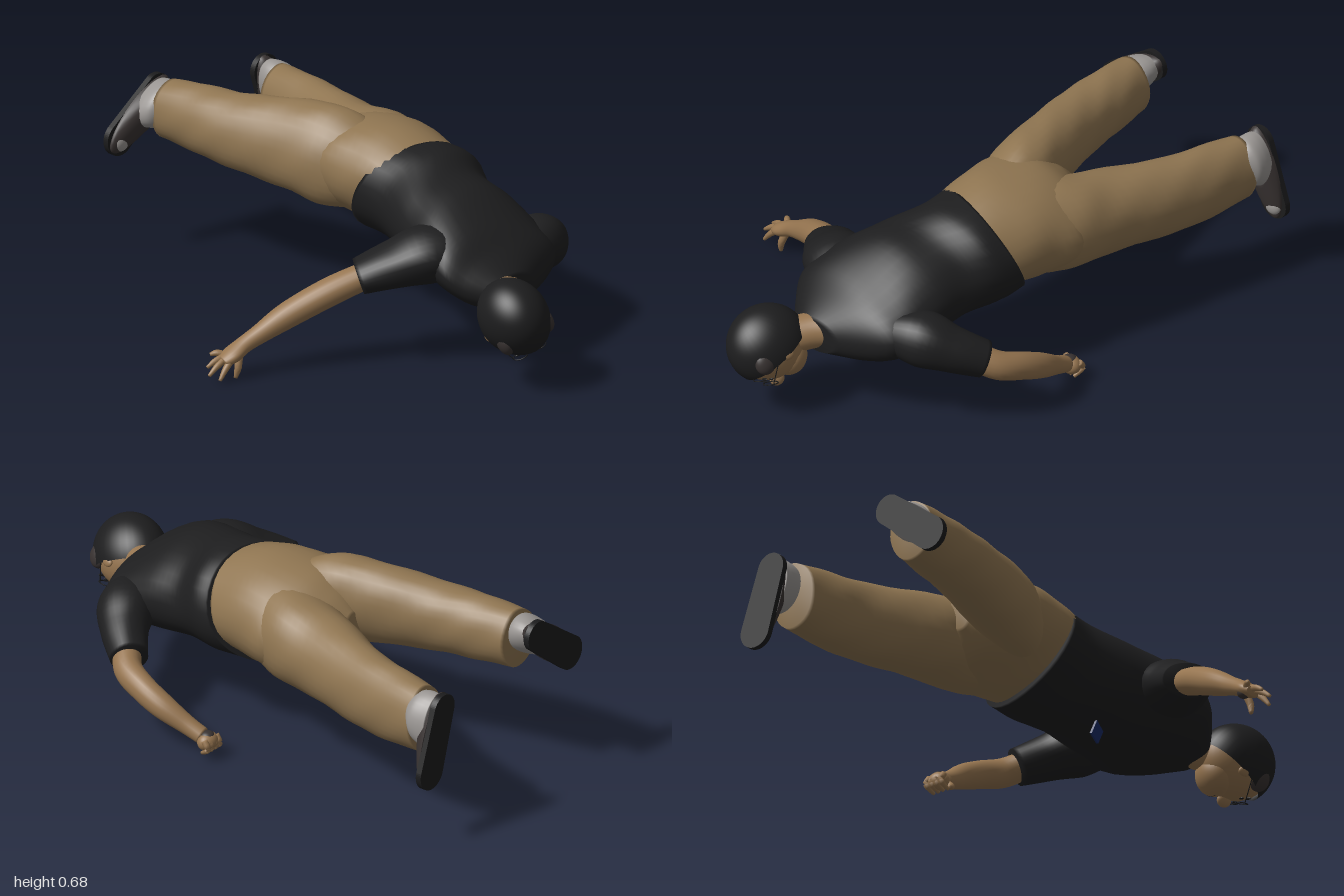
import * as THREE from 'three';

const mat = (name, color, side = THREE.FrontSide) => {
  const m = new THREE.MeshStandardMaterial({ color, side });
  m.name = name;
  return m;
};
const V = (x, y, z) => new THREE.Vector3(x, y, z);

// Smooth skin over elliptical rings [x, y, z, halfWidth, halfHeight, roll, slantY, slantX].
// With along = false the rings face +z (list them by rising z); otherwise they follow the path.
function loft(rows, { along = false, sides = 32, steps = 6, fold = 0 } = {}) {
  const n = (rows.length - 1) * steps, pos = [], idx = [], rings = [];
  const cr = (a, b, c, d, t) =>
    0.5 * (2 * b + (c - a) * t + (2 * a - 5 * b + 4 * c - d) * t * t + (3 * b - a - 3 * c + d) * t * t * t);
  for (let i = 0; i <= n; i++) {
    const k = Math.min(Math.floor(i / steps), rows.length - 2), t = i / steps - k;
    const row = j => rows[THREE.MathUtils.clamp(k + j, 0, rows.length - 1)];
    rings.push([0, 1, 2, 3, 4, 5, 6, 7].map(c =>
      cr(row(-1)[c] || 0, row(0)[c] || 0, row(1)[c] || 0, row(2)[c] || 0, t)));
  }
  rings.forEach((r, i) => {
    const p = V(r[0], r[1], r[2]);
    let N = V(1, 0, 0), B = V(0, 1, 0);
    if (along) {
      const a = rings[Math.max(i - 1, 0)], b = rings[Math.min(i + 1, n)];
      const T = V(b[0] - a[0], b[1] - a[1], b[2] - a[2]).normalize();
      N = V(0, 1, 0).cross(T).normalize();
      B = T.clone().cross(N);
    }
    for (let j = 0; j < sides; j++) {
      const th = j / sides * Math.PI * 2;
      const w = 1 + fold * Math.sin(3 * th + r[2] * 13) * Math.sin(r[2] * 19 + 2 * th);
      const u = Math.cos(th) * r[3] * w, v = Math.sin(th) * r[4] * w;
      const c = Math.cos(r[5]), s = Math.sin(r[5]);
      const q = p.clone().addScaledVector(N, u * c - v * s).addScaledVector(B, u * s + v * c);
      q.z += r[6] * (q.y - p.y) + r[7] * (q.x - p.x);
      pos.push(q.x, q.y, q.z);
    }
  });
  for (let i = 0; i < n; i++) for (let j = 0; j < sides; j++) {
    const a = i * sides + j, b = i * sides + (j + 1) % sides;
    idx.push(a, b, b + sides, a, b + sides, a + sides);
  }
  // end caps
  const c0 = pos.length / 3, last = n * sides;
  pos.push(...rings[0].slice(0, 3), ...rings[n].slice(0, 3));
  for (let j = 0; j < sides; j++) {
    const k = (j + 1) % sides;
    idx.push(c0, k, j, c0 + 1, last + j, last + k);
  }
  const g = new THREE.BufferGeometry();
  g.setAttribute('position', new THREE.Float32BufferAttribute(pos, 3));
  g.setIndex(idx);
  g.computeVertexNormals();
  return g;
}

export function createModel() {
  const root = new THREE.Group();
  const skin = mat('skin', 0x967550), pants = mat('tan trousers', 0x8f7551);
  const shirt = mat('black shirt', 0x1e1e1f), hair = mat('black hair', 0x1d1d1e, THREE.DoubleSide);
  const shoe = mat('dark shoe', 0x383231), sole = mat('black sole', 0x1b1b1c);
  const sock = mat('grey sock', 0x9a9693), blue = mat('blue badge', 0x182c66);
  const add = (name, geo, m, parent = root) => {
    const o = new THREE.Mesh(geo, m);
    o.name = name;
    parent.add(o);
    return o;
  };
  const ball = (name, m, p, s, parent = root) => {
    const o = add(name, new THREE.SphereGeometry(1, 28, 20), m, parent);
    o.position.set(...p);
    o.scale.set(...s);
    return o;
  };

  // trousers
  add('trouserSeat', loft([
    [0.285, 0.475, -0.35, 0.04, 0.06, -0.25], [0.29, 0.47, -0.28, 0.15, 0.13, -0.25],
    [0.31, 0.475, -0.18, 0.242, 0.17, -0.25], [0.30, 0.475, -0.03, 0.232, 0.185, -0.25, 0.2],
    [0.29, 0.455, 0.10, 0.208, 0.165, -0.25, 0.42, 0.1],
  ], { fold: 0.02 }), pants);
  add('rightTrouserLeg', loft([
    [0.06, 0.525, -0.90, 0.088, 0.108], [0.075, 0.525, -0.77, 0.1, 0.12, -0.1], [0.095, 0.522, -0.6, 0.112, 0.132, -0.3],
    [0.155, 0.525, -0.35, 0.122, 0.162, -0.35], [0.19, 0.512, -0.18, 0.125, 0.172, -0.35],
    [0.24, 0.48, 0, 0.09, 0.11, -0.3],
  ], { fold: 0.025 }), pants);
  add('leftTrouserLeg', loft([
    [0.58, 0.425, -0.90, 0.088, 0.122], [0.56, 0.42, -0.77, 0.097, 0.137], [0.525, 0.42, -0.6, 0.108, 0.145],
    [0.44, 0.435, -0.35, 0.145, 0.155], [0.41, 0.45, -0.18, 0.15, 0.168], [0.36, 0.455, 0, 0.12, 0.15],
  ], { fold: 0.025 }), pants);

  // shirt body and sleeves
  add('shirtBody', loft([
    [0.29, 0.45, 0.055, 0.224, 0.182, -0.25, 0.46, 0.26], [0.285, 0.44, 0.16, 0.222, 0.182, -0.25, 0.36, 0.14],
    [0.235, 0.412, 0.3, 0.23, 0.172, -0.15, 0.15], [0.21, 0.39, 0.45, 0.25, 0.17, -0.12],
    [0.19, 0.35, 0.58, 0.265, 0.138, -0.1], [0.185, 0.318, 0.66, 0.22, 0.104], [0.13, 0.29, 0.735, 0.095, 0.06],
  ], { fold: 0.012 }), shirt);
  add('rightSleeve', loft([
    [0.14, 0.375, 0.56, 0.06, 0.06], [0.0, 0.395, 0.468, 0.128, 0.1],
    [-0.11, 0.36, 0.39, 0.112, 0.08], [-0.205, 0.32, 0.315, 0.09, 0.06],
  ], { along: true, fold: 0.02 }), shirt);
  add('leftSleeve', loft([
    [0.3, 0.34, 0.61, 0.05, 0.05], [0.44, 0.33, 0.535, 0.1, 0.1],
    [0.535, 0.295, 0.468, 0.084, 0.082], [0.612, 0.25, 0.385, 0.067, 0.067],
  ], { along: true, fold: 0.02 }), shirt);

  // bare arms
  add('rightArm', loft([
    [-0.16, 0.335, 0.345, 0.052, 0.046], [-0.29, 0.275, 0.265, 0.056, 0.05], [-0.42, 0.203, 0.19, 0.05, 0.046],
    [-0.52, 0.147, 0.15, 0.036, 0.034], [-0.575, 0.117, 0.13, 0.034, 0.029],
    [-0.625, 0.088, 0.118, 0.043, 0.026], [-0.66, 0.07, 0.108, 0.032, 0.018],
  ], { along: true, sides: 20 }), skin);
  add('leftArm', loft([
    [0.58, 0.27, 0.42, 0.05, 0.05], [0.65, 0.23, 0.36, 0.05, 0.052], [0.682, 0.2, 0.27, 0.046, 0.05],
    [0.685, 0.16, 0.18, 0.044, 0.045], [0.665, 0.11, 0.09, 0.034, 0.034], [0.652, 0.08, 0.03, 0.032, 0.03],
  ], { along: true, sides: 20 }), skin);

  // dark marks under the right forearm and hand, and in the left palm
  for (const [x, y, z, l] of [[-0.435, 0.176, 0.166, 0.055], [-0.61, 0.078, 0.108, 0.026]]) {
    const mark = ball('forearmMark', shoe, [x, y, z], [l, 0.02, 0.022]);
    mark.rotation.set(0, -0.42, 0.5, 'YZX');
  }
  ball('palmMark', shoe, [0.652, 0.088, 0.008], [0.026, 0.018, 0.026]);

  // spread right fingers and curled left fingers, each a tapering bent finger
  const finger = (name, a, b, c, r) => add(name, loft([
    [...a, r, r], [...b, r * 0.95, r * 0.95], [...c, r * 0.5, r * 0.5],
  ], { along: true, sides: 10, steps: 4 }), skin);
  [[-0.725, 0.035, 0.11], [-0.70, 0.018, 0.138], [-0.71, 0.055, 0.085], [-0.67, 0.085, 0.058]].forEach((t, i) => {
    const a = [-0.635, 0.085, [0.115, 0.135, 0.105, 0.09][i]];
    finger('rightFinger', a, a.map((v, k) => v * 0.45 + t[k] * 0.55 + (k === 1 ? 0.006 : 0)), t, 0.012);
  });
  finger('rightThumb', [-0.6, 0.09, 0.13], [-0.615, 0.045, 0.14], [-0.622, 0.008, 0.135], 0.014);
  ball('leftPalm', skin, [0.653, 0.068, 0.005], [0.042, 0.034, 0.034]);
  for (let i = 0; i < 4; i++) {
    const x = 0.622 + i * 0.021;
    finger('leftFinger', [x, 0.085, -0.005], [x, 0.055, -0.022], [x - 0.008, 0.03, 0.012], 0.012);
  }
  finger('leftThumb', [0.635, 0.065, 0.03], [0.612, 0.045, 0.025], [0.605, 0.035, 0.005], 0.013);

  // feet: soles flat at the far end, local +x runs from heel to toe
  const foot = (side, heel, toe) => {
    const g = new THREE.Group();
    g.name = side + 'Foot';
    const dx = toe[0] - heel[0], dy = toe[1] - heel[1], len = Math.hypot(dx, dy), r = 0.062;
    g.position.set(heel[0], heel[1], 0);
    g.rotation.z = Math.atan2(dy, dx);
    const s = new THREE.Shape();
    s.absarc(0, 0, r * 0.9, Math.PI / 2, Math.PI * 1.5);
    s.absarc(len, 0, r, -Math.PI / 2, Math.PI / 2);
    add('sole', new THREE.ExtrudeGeometry(s, { depth: 0.022, bevelEnabled: false, curveSegments: 16 }), sole, g).position.z = -1;
    add('shoeUpper', loft([
      [len / 2, 0, -0.98, len / 2 + r * 0.95, r], [len / 2, 0, -0.968, len / 2 + r * 0.85, r * 0.97],
      [len * 0.42, 0, -0.952, len * 0.42 + r * 0.6, r * 0.88], [len * 0.28, 0, -0.935, len * 0.3 + r * 0.3, r * 0.75],
    ]), shoe, g);
    ball('toeCap', sock, [len + 0.008, 0.004, -0.974], [0.036, 0.036, 0.022], g);
    add(side + 'Sock', loft([
      [0.055, 0, -0.968, 0.1, 0.058], [0.05, 0, -0.935, 0.098, 0.066],
      [0.045, 0, -0.9, 0.086, 0.066], [0.035, 0, -0.87, 0.05, 0.045],
    ]), sock, g);
    root.add(g);
  };
  foot('left', [0.598, 0.5], [0.668, 0.28]);
  foot('right', [0.078, 0.572], [-0.1, 0.435]);

  // neck and head; inside the head group y is the crown and z the face
  add('neck', loft([
    [0.16, 0.3, 0.64, 0.08, 0.07], [0.1, 0.29, 0.72, 0.066, 0.064], [0.04, 0.27, 0.82, 0.064, 0.064],
  ], { along: true }), skin);
  const head = new THREE.Group();
  head.name = 'head';
  const up = V(-0.32, 0.05, 1).normalize(), face = V(0.35, -0.9, 0);
  face.addScaledVector(up, -face.dot(up)).normalize();
  head.quaternion.setFromRotationMatrix(new THREE.Matrix4().makeBasis(up.clone().cross(face), up, face));
  head.position.set(0.02, 0.262, 0.855);
  root.add(head);
  ball('skull', skin, [0, 0, 0], [0.108, 0.138, 0.128], head);
  ball('jaw', skin, [0, -0.07, 0.05], [0.08, 0.068, 0.078], head);
  ball('nose', skin, [0, -0.02, 0.13], [0.016, 0.028, 0.026], head);
  ball('mouth', shoe, [0, -0.074, 0.122], [0.026, 0.004, 0.006], head);
  const cap = new THREE.SphereGeometry(1, 36, 24, 0, Math.PI * 2, 0, 1.84);
  cap.rotateX(-0.95);
  cap.scale(0.12, 0.149, 0.141);
  add('hair', cap, hair, head);
  for (const s of [-1, 1]) {
    ball('sideHair', shoe, [s * 0.083, 0.055, 0.042], [0.027, 0.04, 0.045], head);
    ball('ear', skin, [s * 0.106, -0.02, 0.03], [0.011, 0.026, 0.018], head);
    ball('eye', sole, [s * 0.04, 0.022, 0.115], [0.015, 0.007, 0.005], head);
    ball('eyebrow', hair, [s * 0.041, 0.048, 0.111], [0.023, 0.005, 0.005], head);
    add('glassesRim', new THREE.TorusGeometry(0.026, 0.002, 6, 24), sole, head).position.set(s * 0.038, 0.024, 0.132);
    add('glassesArm', new THREE.TubeGeometry(new THREE.LineCurve3(
      V(s * 0.064, 0.026, 0.132), V(s * 0.112, 0.012, 0.03)), 2, 0.002, 6), sole, head);
  }
  add('glassesBridge', new THREE.BoxGeometry(0.026, 0.004, 0.004), sole, head).position.set(0, 0.028, 0.133);

  // small badge hanging edge-on below the chest
  const badge = add('chestBadge', new THREE.BoxGeometry(0.008, 0.06, 0.065), blue);
  badge.position.set(0.18, 0.228, 0.29);
  badge.rotation.set(0.2, 0.3, 0.25);
  return root;
}
